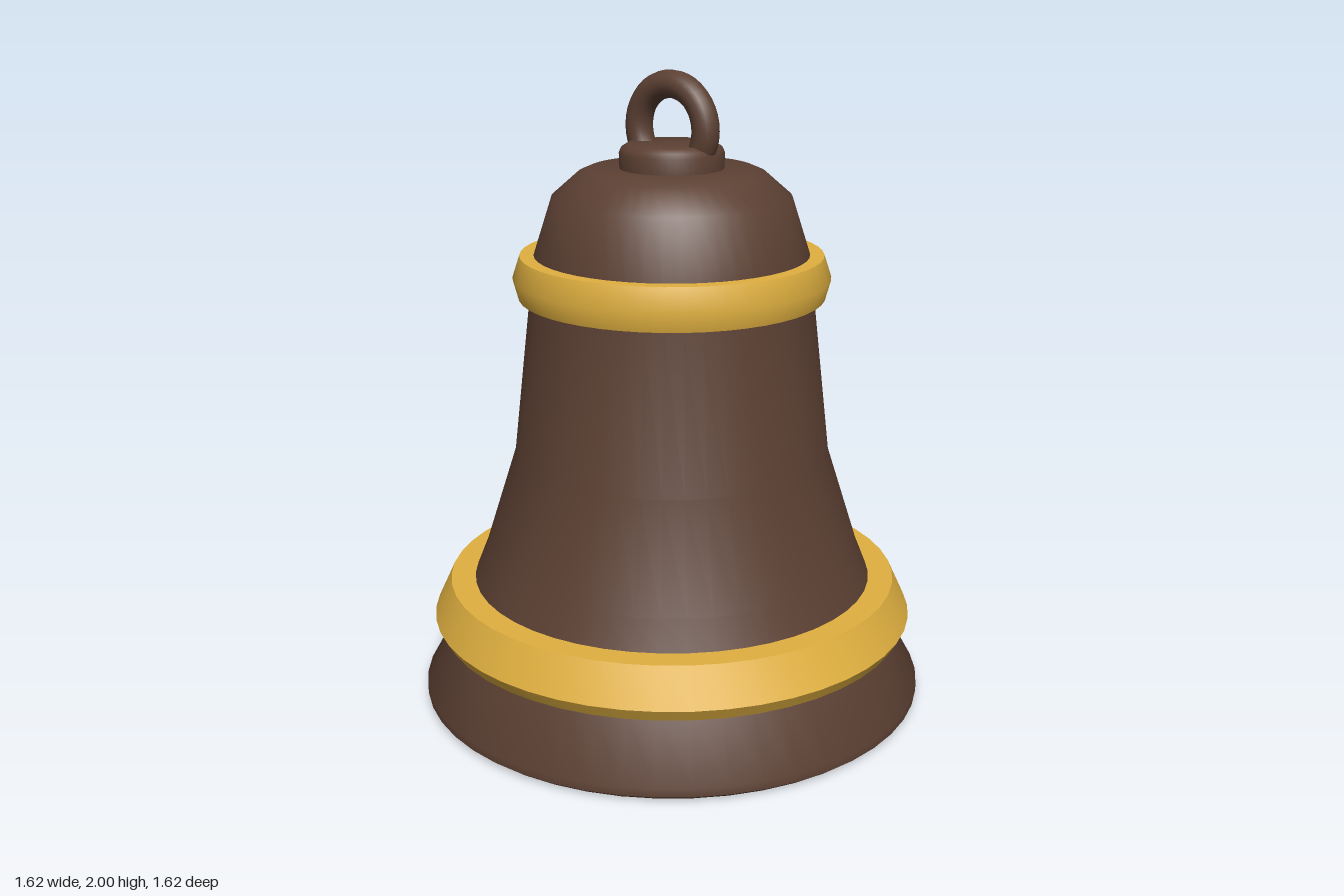
import * as THREE from 'three';
import { toCreasedNormals } from 'three/addons/utils/BufferGeometryUtils.js';

export function createModel() {
  const model = new THREE.Group();
  model.name = 'bell';

  const bronze = new THREE.MeshStandardMaterial({ color: 0x5c4033 });
  bronze.name = 'dark bronze';
  const gold = new THREE.MeshStandardMaterial({ color: 0xe0b040 });
  gold.name = 'gold';

  const add = (name, geometry, material) => {
    const mesh = new THREE.Mesh(geometry, material);
    mesh.name = name;
    model.add(mesh);
    return mesh;
  };

  // Turned part from [radius, height] pairs; only sharp corners stay creased
  const turned = (name, profile, material) => {
    const points = profile.map(([r, y]) => new THREE.Vector2(r, y));
    const geometry = new THREE.LatheGeometry(points, 48);
    return add(name, toCreasedNormals(geometry, 0.75), material);
  };

  // Hollow body: down the inside, round the lip, up the outside
  turned('bellBody', [
    [0, 1.63], [0.24, 1.63], [0.32, 1.56], [0.375, 1.42], [0.39, 1.31],
    [0.445, 0.81], [0.54, 0.47], [0.64, 0.23], [0.735, 0.03],
    [0.75, 0.008], [0.77, 0], [0.795, 0.003], [0.81, 0.015], [0.81, 0.04],
    [0.705, 0.23], [0.645, 0.38], [0.605, 0.48], [0.5, 0.81],
    [0.443, 1.31], [0.428, 1.44], [0.37, 1.62], [0.29, 1.69],
    [0.255, 1.705], [0, 1.705],
  ], bronze);

  // Raised gold bands
  turned('lowerBand', [
    [0.69, 0.23], [0.752, 0.23], [0.775, 0.27], [0.72, 0.388], [0.63, 0.388],
  ], gold);
  turned('upperBand', [
    [0.43, 1.308], [0.478, 1.308], [0.495, 1.37], [0.472, 1.44], [0.42, 1.44],
  ], gold);

  // Crown cap and hanging ring
  turned('crown', [
    [0.16, 1.69], [0.162, 1.752], [0.155, 1.768], [0.135, 1.78], [0, 1.78],
  ], bronze);
  add('hangingRing', new THREE.TorusGeometry(0.1325, 0.0425, 16, 40), bronze)
    .position.y = 1.825;

  return model;
}
